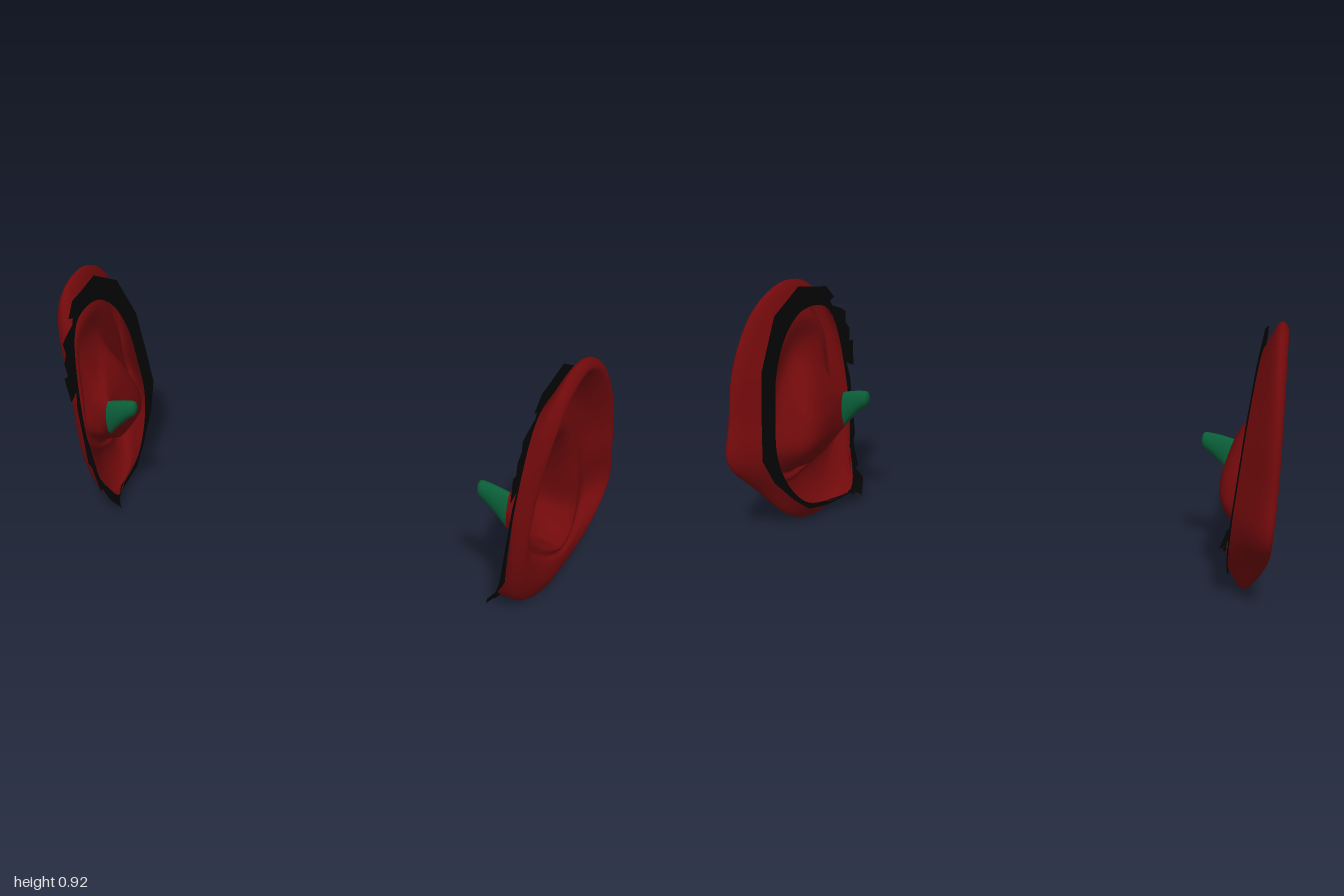
import * as THREE from 'three';

const RED = new THREE.MeshStandardMaterial({ color: 0x720a0c, side: THREE.DoubleSide });
const BLACK = new THREE.MeshStandardMaterial({ color: 0x050505, side: THREE.DoubleSide });
const GREEN = new THREE.MeshStandardMaterial({ color: 0x0a5c37, side: THREE.DoubleSide });

// Plane in which the ear meets the head: x as a function of z and y
const seat = (z, y) =>
  0.8 + 0.08 * y - 0.1 * z - 0.7 * Math.max(0, z - 0.08) * Math.max(0, 1 - y / 0.15);

// Closed outlines as [z, y, x], from the top, round the back and lobe, up the front
const JOINT = [
  [.05, .81], [-.07, .745], [-.16, .61], [-.195, .465], [-.215, .32], [-.18, .2],
  [-.09, .095], [.03, .055], [.16, .065], [.235, .23], [.26, .5], [.2, .78],
].map(([z, y]) => [z, y, seat(z, y)]);
const OUTER = [
  [.03, .92, .92], [-.15, .84, .95], [-.265, .65, .975], [-.306, .45, .98],
  [-.333, .305, .98], [-.215, .162, .94], [-.105, .033, .875], [.02, 0, .848],
  [.16, .06, .82], [.24, .23, .815], [.258, .5, .835], [.19, .86, .9],
];
const RIM_INNER = [
  [.02, .855, .93], [-.1, .79, .95], [-.21, .625, .965], [-.25, .465, .97],
  [-.278, .31, .965], [-.17, .21, .95], [-.07, .145, .925], [.02, .155, .908],
  [.11, .2, .878], [.195, .28, .855], [.205, .51, .862], [.187, .76, .9],
];
const BOWL_EDGE = [
  [.02, .67, .887], [-.03, .62, .892], [-.085, .52, .902], [-.12, .41, .915],
  [-.142, .29, .92], [-.09, .205, .92], [-.03, .185, .912], [.04, .21, .893],
  [.1, .25, .87], [.18, .33, .85], [.182, .47, .852], [.16, .665, .86],
];
const BOWL_FLOOR = [
  [.07, .59, .832], [.01, .55, .812], [-.045, .465, .79], [-.075, .39, .778],
  [-.085, .31, .785], [-.04, .245, .815], [.01, .23, .825], [.06, .255, .817],
  [.11, .285, .806], [.165, .33, .81], [.175, .445, .808], [.13, .55, .822],
];

// Ring between two outlines, shifted in depth
const between = (a, b, t, shift) => a.map((p, i) => {
  const q = b[i], gap = Math.hypot(p[0] - q[0], p[1] - q[1]);
  const r = p.map((v, k) => v + (q[k] - v) * t);
  r[2] += shift(gap);
  return r;
});
const ellipse = (z, y, x, rz, ry) => Array.from({ length: 12 }, (_, i) => {
  const a = i / 12 * Math.PI * 2;
  return [z - rz * Math.sin(a), y + ry * Math.cos(a), x];
});

const AROUND = 72;
const smoothLoop = ring => {
  const curve = new THREE.CatmullRomCurve3(
    ring.map(([z, y, x]) => new THREE.Vector3(x, y, z)), true, 'centripetal');
  return Array.from({ length: AROUND }, (_, i) => curve.getPoint(i / AROUND));
};

// Smooth skin through closed rings; side is 1 or -1
function loft(rings, side, steps) {
  const loops = rings.map(smoothLoop);
  const rows = (loops.length - 1) * steps;
  const pos = [], index = [];
  const strands = Array.from({ length: AROUND }, (_, i) =>
    new THREE.CatmullRomCurve3(loops.map(l => l[i]), false, 'centripetal'));
  for (let r = 0; r <= rows; r++) {
    for (const s of strands) {
      const p = s.getPoint(r / rows);
      pos.push(p.x * side, p.y, p.z);
    }
  }
  for (let r = 0; r < rows; r++) {
    for (let i = 0; i < AROUND; i++) {
      const j = (i + 1) % AROUND;
      const a = r * AROUND + i, b = r * AROUND + j, c = a + AROUND, d = b + AROUND;
      if (side > 0) index.push(a, c, b, b, c, d);
      else index.push(a, b, c, b, d, c);
    }
  }
  const g = new THREE.BufferGeometry();
  g.setAttribute('position', new THREE.Float32BufferAttribute(pos, 3));
  g.setIndex(index);
  g.computeVertexNormals();
  return g;
}

// Flat torn collar around the joint, jagged along the front
const COLLAR = [
  [.03, .9], [-.13, .82], [-.24, .64], [-.275, .47], [-.3, .32], [-.25, .22],
  [-.15, .12], [-.07, .057], [.05, .033], [.15, .05], [.163, .04], [.17, .05],
  [.19, .035], [.235, .09], [.232, .13], [.25, .13], [.258, .23], [.277, .26],
  [.287, .49], [.275, .55], [.318, .53], [.335, .63], [.31, .63], [.32, .68],
  [.298, .71], [.307, .75], [.285, .765], [.225, .79], [.215, .81], [.243, .82],
  [.2, .87], [.13, .88],
];
function collarGeometry(side) {
  const shape = new THREE.Shape(COLLAR.map(([z, y]) => new THREE.Vector2(z, y)));
  shape.holes.push(new THREE.Path(smoothLoop(JOINT).map(p => new THREE.Vector2(p.z, p.y))));
  const g = new THREE.ShapeGeometry(shape);
  const p = g.attributes.position;
  for (let i = 0; i < p.count; i++) {
    const z = p.getX(i), y = p.getY(i);
    p.setXYZ(i, side * seat(z, y), y, z);
  }
  if (side > 0) {
    const idx = g.index.array;
    for (let i = 0; i < idx.length; i += 3) [idx[i], idx[i + 1]] = [idx[i + 1], idx[i]];
  }
  g.computeVertexNormals();
  return g;
}

function makeEar(side) {
  const ear = new THREE.Group();
  ear.name = side > 0 ? 'leftEar' : 'rightEar';
  const add = (name, geometry, material) => {
    const m = new THREE.Mesh(geometry, material);
    m.name = name;
    ear.add(m);
  };
  const mouth = ellipse(.155, .4, .765, .026, .068);
  // Back of the ear, rolled rim, groove, ridge and bowl in one skin
  add('earSkin', loft([
    JOINT, OUTER,
    between(OUTER, RIM_INNER, .45, () => .023),
    RIM_INNER,
    between(RIM_INNER, BOWL_EDGE, .4, gap => -.18 * gap),
    BOWL_EDGE, BOWL_FLOOR, mouth,
  ], side, 5), RED);
  // Canal tapering inward to a rounded end
  add('earCanal', loft([
    mouth,
    ellipse(.152, .426, .725, .027, .051),
    ellipse(.148, .447, .685, .025, .036),
    ellipse(.146, .456, .66, .02, .026),
    ellipse(.146, .458, .651, .001, .001),
  ], side, 4), GREEN);
  add('tornCollar', collarGeometry(side), BLACK);
  return ear;
}

export function createModel() {
  const model = new THREE.Group();
  model.name = 'earPair';
  for (const side of [1, -1]) model.add(makeEar(side));
  return model;
}
